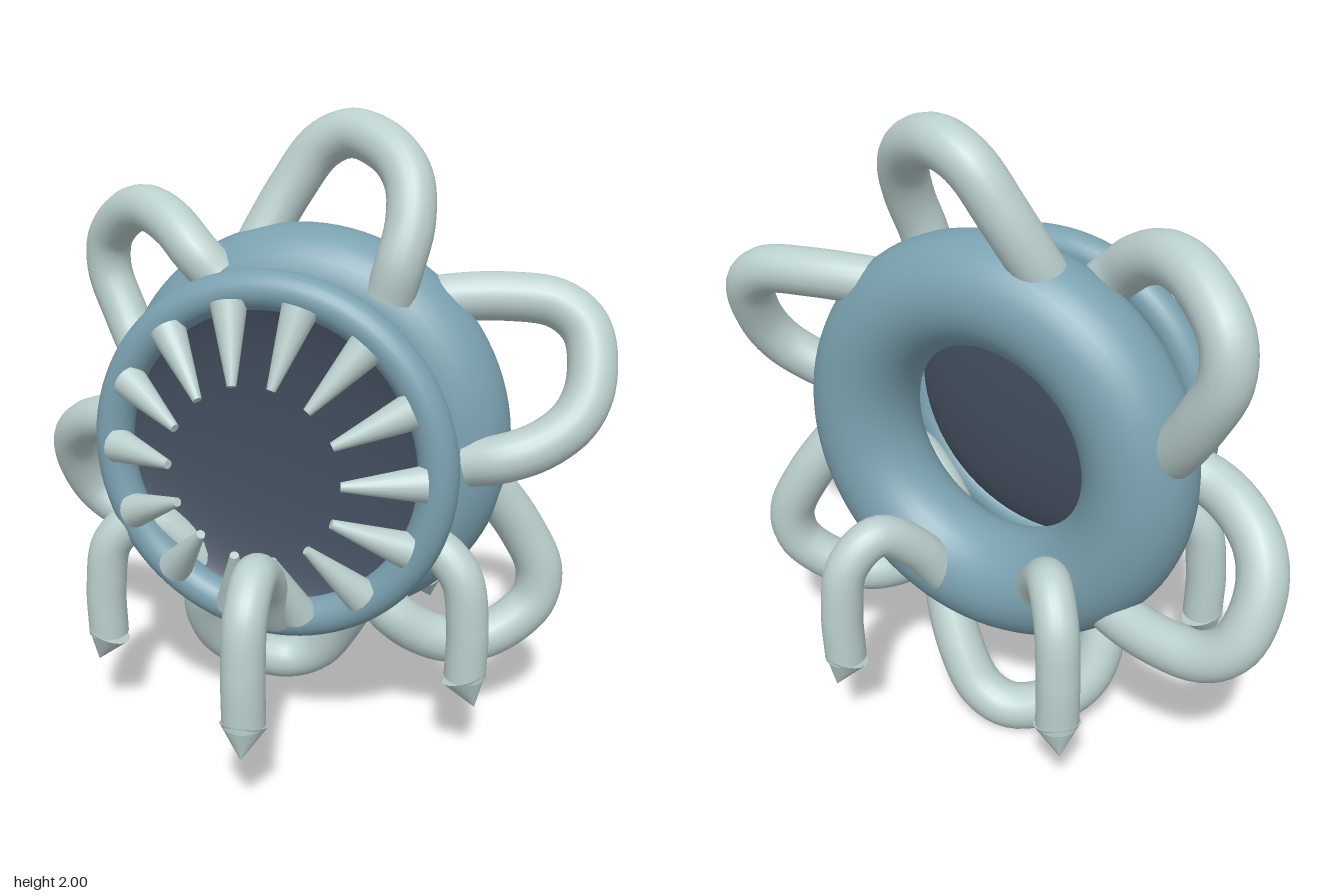
import * as THREE from 'three';

export function createModel() {
  const model = new THREE.Group();
  const blue = new THREE.MeshStandardMaterial({ color: 0x7aa1af });
  const pale = new THREE.MeshStandardMaterial({ color: 0xbacfcd });
  const dark = new THREE.MeshStandardMaterial({ color: 0x434e5e, side: THREE.DoubleSide });
  blue.name = 'slate blue';
  pale.name = 'pale grey green';
  dark.name = 'dark slate';

  const add = (parent, name, geometry, material, x = 0, y = 0, z = 0) => {
    const mesh = new THREE.Mesh(geometry, material);
    mesh.name = name;
    mesh.position.set(x, y, z);
    parent.add(mesh);
    return mesh;
  };

  // Smooth tube through points, closed with a disc at each end
  const addTube = (parent, name, points, radius) => {
    const curve = new THREE.CatmullRomCurve3(points.map((p) => new THREE.Vector3(...p)));
    add(parent, name, new THREE.TubeGeometry(curve, 48, radius, 20), pale);
    for (const [u, side] of [[0, -1], [1, 1]]) {
      const end = curve.getPointAt(u);
      const cap = add(parent, name + 'End', new THREE.CircleGeometry(radius, 20), pale, end.x, end.y, end.z);
      cap.quaternion.setFromUnitVectors(new THREE.Vector3(0, 0, 1), curve.getTangentAt(u).multiplyScalar(side));
    }
  };

  // Body ring, mouth rim and hollow mouth
  add(model, 'bodyRing', new THREE.TorusGeometry(0.49, 0.17, 32, 96), blue, 0, 1, -0.17);
  add(model, 'mouthRim', new THREE.TorusGeometry(0.52, 0.06, 24, 96), blue, 0, 1, 0.18);
  const bowl = new THREE.SphereGeometry(0.52, 64, 20, 0, Math.PI * 2, 0, Math.PI / 2);
  bowl.rotateX(-Math.PI / 2).scale(1, 1, 0.12 / 0.52);
  add(model, 'mouthBowl', bowl, dark, 0, 1, 0.18);

  // Teeth lean inward and forward from the rim
  const base = new THREE.Vector3(0.49, 0, 0.22);
  const tip = new THREE.Vector3(0.27, 0, 0.325);
  const axis = tip.clone().sub(base);
  const toothGeometry = new THREE.CylinderGeometry(0.014, 0.055, axis.length(), 20);
  for (let i = 0; i < 14; i++) {
    const holder = new THREE.Group();
    holder.position.y = 1;
    holder.rotation.z = (i / 14) * Math.PI * 2;
    const tooth = add(holder, 'tooth', toothGeometry, pale);
    tooth.position.copy(base).add(tip).multiplyScalar(0.5);
    tooth.quaternion.setFromUnitVectors(new THREE.Vector3(0, 1, 0), axis.clone().normalize());
    model.add(holder);
  }

  // Twisted loops around the body: local x is outward, y runs around the ring
  const loopPath = [
    [0.5, 0.25, -0.17], [0.58, 0.23, -0.21], [0.737, 0.17, -0.26], [0.876, 0.09, -0.28],
    [0.93, -0.01, -0.265], [0.9, -0.156, -0.2], [0.83, -0.235, -0.145], [0.72, -0.268, -0.09],
    [0.6, -0.262, -0.05], [0.5, -0.245, -0.055],
  ];
  for (let i = 0; i < 6; i++) {
    const loop = new THREE.Group();
    loop.name = 'loop';
    loop.position.y = 1;
    loop.rotation.z = THREE.MathUtils.degToRad(24 + 60 * i);
    addTube(loop, 'loopTube', loopPath, 0.075);
    model.add(loop);
  }

  // Five arched legs with pointed feet
  const legPath = [
    [0.25, 0.5, 0], [0.36, 0.65, 0], [0.49, 0.735, 0], [0.59, 0.66, 0], [0.62, 0.5, 0], [0.62, 0.33, 0],
  ];
  for (let i = 0; i < 5; i++) {
    const leg = new THREE.Group();
    leg.name = 'leg';
    leg.position.z = -0.045;
    leg.rotation.y = -THREE.MathUtils.degToRad(12 + 72 * i);
    addTube(leg, 'legTube', legPath, 0.065);
    const foot = add(leg, 'foot', new THREE.ConeGeometry(0.072, 0.105, 20), pale, 0.638, 0.278, 0);
    foot.rotation.z = Math.PI + 0.37;
    model.add(leg);
  }
  return model;
}
